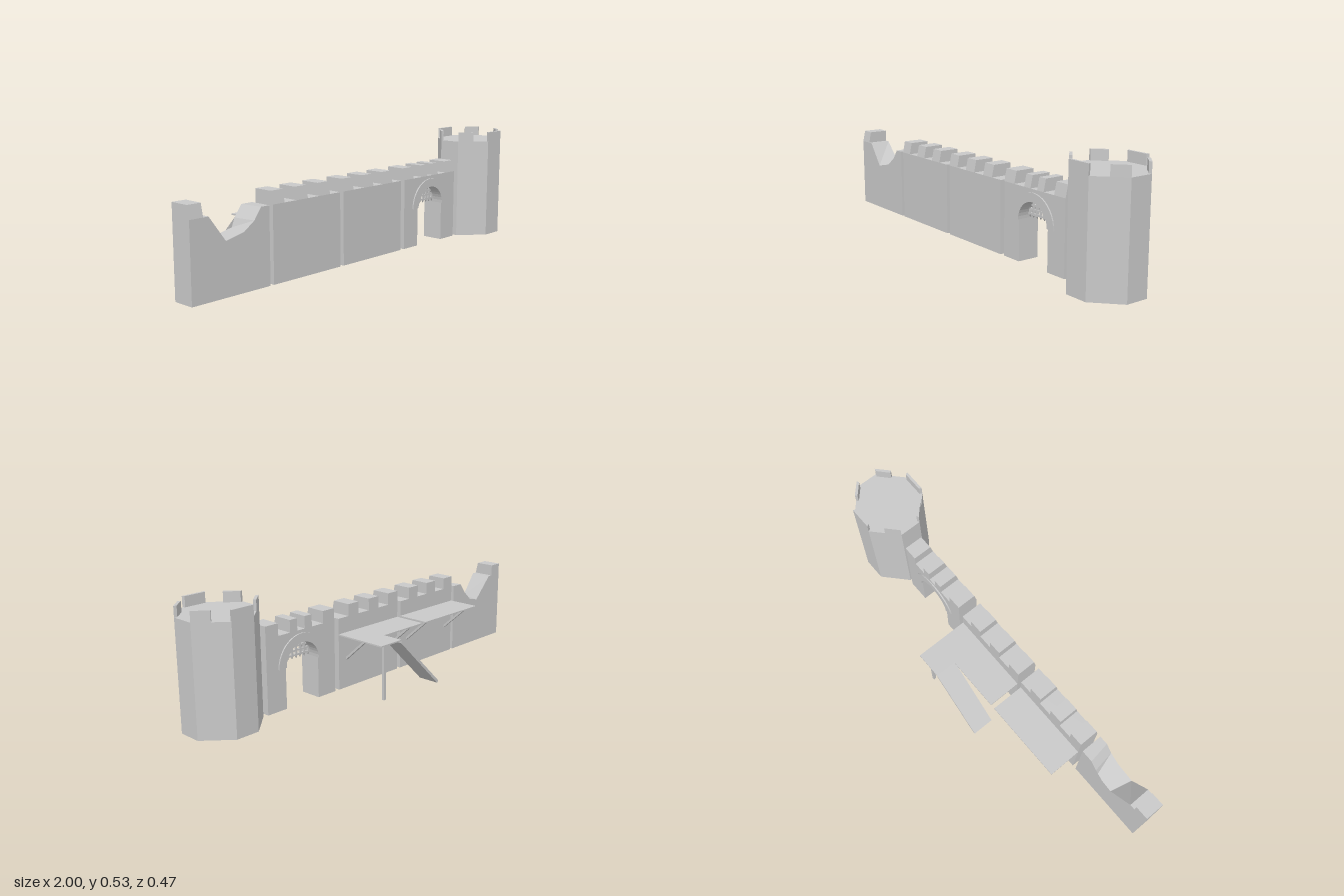
import * as THREE from 'three';

export function createModel() {
  const model = new THREE.Group();
  model.name = 'castleWall';
  const stone = new THREE.MeshStandardMaterial({ color: 0xc8c8c8 });
  stone.name = 'grey stone';

  const BASE = 0.006, TOP = 0.34, MERLON = 0.395, BACK = 0.022, FRONT = 0.126;
  const DEPTH = FRONT - BACK;

  const add = (parent, name, geometry) => {
    const mesh = new THREE.Mesh(geometry, stone);
    mesh.name = name;
    parent.add(mesh);
    return mesh;
  };
  // Box given by its extents
  const box = (parent, name, x0, x1, y0, y1, z0, z1) => {
    const mesh = add(parent, name, new THREE.BoxGeometry(x1 - x0, y1 - y0, z1 - z0));
    mesh.position.set((x0 + x1) / 2, (y0 + y1) / 2, (z0 + z1) / 2);
    return mesh;
  };
  const section = (name) => {
    const g = new THREE.Group();
    g.name = name;
    model.add(g);
    return g;
  };
  const outline = (points) => new THREE.Shape(points.map(([x, y]) => new THREE.Vector2(x, y)));
  const extrude = (shape, depth, z, curveSegments = 6) =>
    new THREE.ExtrudeGeometry(shape, { depth, bevelEnabled: false, curveSegments }).translate(0, 0, z);

  // Merlon whose front leans slightly back
  const merlon = (parent, x0, x1) => {
    const mesh = box(parent, 'merlon', x0, x1, TOP, MERLON, BACK, FRONT);
    const p = mesh.geometry.attributes.position;
    for (let i = 0; i < p.count; i++) {
      if (p.getY(i) > 0 && p.getZ(i) > 0) p.setZ(i, p.getZ(i) - 0.012);
    }
    mesh.geometry = mesh.geometry.toNonIndexed();
    mesh.geometry.computeVertexNormals();
  };

  // Broken wall: the dip is slightly skewed from front to back
  const broken = section('brokenWall');
  const ruin = extrude(outline([
    [-1, BASE], [-0.605, BASE], [-0.605, TOP], [-0.648, TOP], [-0.685, 0.29],
    [-0.74, 0.252], [-0.83, 0.232], [-0.91, TOP], [-1, TOP],
  ]), DEPTH, BACK);
  const rp = ruin.attributes.position;
  for (let i = 0; i < rp.count; i++) {
    const x = rp.getX(i);
    if (rp.getZ(i) < 0.07 && x > -0.88 && x < -0.61) {
      rp.setX(i, x + (x < -0.7 ? 0.025 : -0.015));
    }
  }
  ruin.computeVertexNormals();
  add(broken, 'brokenWallBody', ruin);
  merlon(broken, -1, -0.935);

  // Two plain walls with walkways and diagonal braces behind
  const PLANK0 = 0.262, PLANK1 = 0.268;
  const brace = (parent, x) => {
    const a = new THREE.Vector3(x, 0.142, 0.025), b = new THREE.Vector3(x, 0.259, -0.106);
    const mesh = add(parent, 'brace', new THREE.BoxGeometry(0.013, 0.01, a.distanceTo(b)));
    mesh.position.copy(a).lerp(b, 0.5);
    mesh.lookAt(b);
  };
  for (const x0 of [-0.586, -0.17]) {
    const x1 = x0 + 0.394;
    const wall = section('wall');
    box(wall, 'wallBody', x0, x1, BASE, TOP, BACK, FRONT);
    for (let i = 0; i < 3; i++) merlon(wall, x0 + i * 0.133, x0 + i * 0.133 + 0.065);
    box(wall, 'walkway', x0, x1, PLANK0, PLANK1, -0.135, BACK);
    brace(wall, x0 + 0.05);
    brace(wall, x1 - 0.05);
  }

  // Landing, its post and the ramp to the ground
  const access = section('rampAccess');
  box(access, 'landing', 0.095, 0.224, PLANK0, PLANK1, -0.236, -0.135);
  box(access, 'post', 0.17, 0.183, 0.005, PLANK0, -0.215, -0.202);
  add(access, 'ramp', extrude(outline([
    [0.095, PLANK1], [-0.17, 0.009], [-0.161, 0], [0.095, 0.252],
  ]), 0.104, -0.236));

  // Gatehouse with arched opening
  const gate = section('gatehouse');
  const CX = 0.446, R = 0.0935, SPRING = 0.192;
  const gateShape = new THREE.Shape();
  gateShape.moveTo(0.25, BASE);
  gateShape.lineTo(CX - R, BASE);
  gateShape.lineTo(CX - R, SPRING);
  gateShape.absarc(CX, SPRING, R, Math.PI, 0, true);
  gateShape.lineTo(CX + R, BASE);
  gateShape.lineTo(0.644, BASE);
  gateShape.lineTo(0.644, TOP);
  gateShape.lineTo(0.25, TOP);
  add(gate, 'gateBody', extrude(gateShape, DEPTH, BACK, 10));
  for (const [a, b] of [[0.25, 0.319], [0.385, 0.426], [0.469, 0.51], [0.575, 0.644]]) merlon(gate, a, b);

  // Raised arch trim on both faces
  const RO = 0.134;
  const ring = new THREE.Shape();
  ring.moveTo(CX + RO, SPRING);
  ring.absarc(CX, SPRING, RO, 0, Math.PI, false);
  ring.lineTo(CX - R, SPRING);
  ring.absarc(CX, SPRING, R, Math.PI, 0, true);
  add(gate, 'archTrim', extrude(ring, DEPTH + 0.012, BACK - 0.006, 10));

  // Raised portcullis, bars clipped to the arch
  const grille = new THREE.Group();
  grille.name = 'portcullis';
  gate.add(grille);
  const BAR = 0.0045, GZ = 0.074;
  for (let i = -3.5; i <= 3.5; i++) {
    const dx = i * 0.0235;
    const top = SPRING + Math.sqrt(R * R - dx * dx) + 0.003;
    box(grille, 'verticalBar', CX + dx - BAR, CX + dx + BAR, 0.208, top, GZ - BAR, GZ + BAR);
    const tip = add(grille, 'spike', new THREE.ConeGeometry(0.006, 0.012, 4));
    tip.rotation.x = Math.PI;
    tip.position.set(CX + dx, 0.202, GZ);
  }
  for (let i = 0; i < 4; i++) {
    const dy = 0.022 + i * 0.02;
    const half = Math.sqrt(R * R - dy * dy) + 0.003;
    box(grille, 'crossBar', CX - half, CX + half, SPRING + dy - 0.004, SPRING + dy + 0.004, GZ - BAR, GZ + BAR);
  }

  // Octagonal tower
  const tower = section('tower');
  const TX = 0.8335, TZ = 0.079, HX = 0.1665, HZ = 0.157, FX = 0.0545, FZ = 0.0525;
  const FLOOR = 0.487, CROWN = 0.533;
  // Extrude a plan given in x and z upwards from y0 to y1
  const prism = (name, plan, y0, y1) => {
    const g = extrude(outline(plan.map(([x, z]) => [x, -z])), y1 - y0, 0);
    g.rotateX(-Math.PI / 2).translate(TX, y0, TZ);
    add(tower, name, g);
  };
  prism('towerBody', [
    [FX, HZ], [HX, FZ], [HX, -FZ], [FX, -HZ], [-FX, -HZ], [-HX, -FZ], [-HX, FZ], [-FX, HZ],
  ], BASE, FLOOR);
  const mx = (HX + FX) / 2, mz = (HZ + FZ) / 2, T = 0.012;
  for (const s of [1, -1]) {
    // Full merlon on the front and back faces
    prism('towerMerlon', [[-FX, s * HZ], [FX, s * HZ], [FX - 0.005, s * (HZ - T)], [-FX + 0.005, s * (HZ - T)]], FLOOR, CROWN);
    // Half merlons on the diagonal faces
    for (const r of [1, -1]) {
      prism('towerMerlon', [
        [r * HX, s * FZ], [r * mx, s * mz], [r * (mx - 0.009), s * (mz - 0.009)], [r * (HX - T), s * (FZ - 0.005)],
      ], FLOOR, CROWN);
    }
  }
  return model;
}
